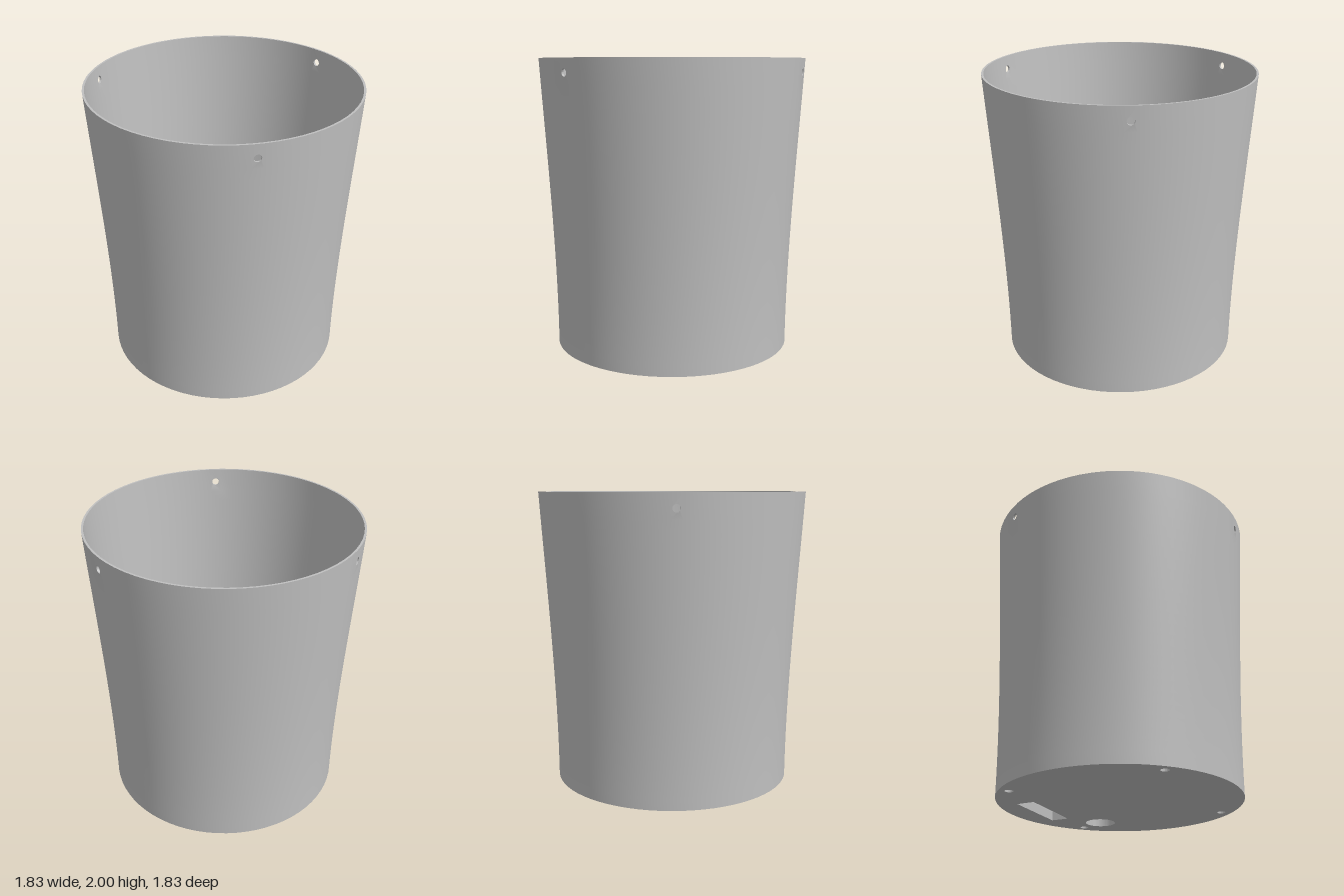
import * as THREE from 'three';
import { mergeGeometries, toCreasedNormals } from 'three/addons/utils/BufferGeometryUtils.js';

const HEIGHT = 2;
const WALL = 0.014;        // wall thickness
const FLOOR = 0.06;        // floor thickness
const BAND = 1.84;         // the pierced rim band starts here
const SIDES = 72;
const STEP = (Math.PI * 2) / SIDES;

// Outer radius, flaring gently toward the rim
const radius = (y) => 0.82 + 0.04025 * y * y - 0.00825 * y * y * y;
const outer = (y) => new THREE.Vector2(radius(y), y);
const inner = (y) => new THREE.Vector2(radius(y) - WALL, y);

// Square piece of wall with a round hole, bent onto the flared surface
function piercedPatch(angle) {
  const w = STEP / 2;
  const shape = new THREE.Shape([
    new THREE.Vector2(-w, BAND), new THREE.Vector2(w, BAND),
    new THREE.Vector2(w, HEIGHT), new THREE.Vector2(-w, HEIGHT),
  ]);
  const hole = new THREE.Path();
  hole.absellipse(0, 1.907, 0.025 / 0.91, 0.025, 0, Math.PI * 2, true);
  shape.holes.push(hole);
  const geometry = new THREE.ExtrudeGeometry(shape, { depth: 1, bevelEnabled: false, curveSegments: 12 });
  const p = geometry.attributes.position;
  for (let i = 0; i < p.count; i++) {
    const y = p.getY(i);
    const r = radius(y) - WALL * (1 - p.getZ(i));
    const a = angle + p.getX(i);
    p.setXYZ(i, r * Math.sin(a), y, r * Math.cos(a));
  }
  return geometry;
}

function wallGeometry() {
  const rows = 24;
  const heights = Array.from({ length: rows + 1 }, (_, i) => (BAND * i) / rows);
  const body = [...[...heights].reverse().map(inner), ...heights.map(outer)];
  const band = [outer(BAND), outer(HEIGHT), inner(HEIGHT), inner(BAND)];
  const parts = [new THREE.LatheGeometry(body, SIDES, STEP / 2).toNonIndexed()];
  // Rim band: three arcs with a pierced patch between each pair
  const arc = SIDES / 3 - 1;
  for (let i = 0; i < 3; i++) {
    const angle = (i * Math.PI * 2) / 3;
    parts.push(new THREE.LatheGeometry(band, arc, angle + STEP / 2, arc * STEP).toNonIndexed());
    parts.push(piercedPatch(angle));
  }
  return toCreasedNormals(mergeGeometries(parts), 0.6);
}

// Floor disc with four screw holes, a slot and a cable hole
function floorGeometry() {
  const shape = new THREE.Shape();
  shape.absarc(0, 0, radius(0) - WALL, STEP / 2, STEP / 2 + Math.PI * 2);
  const roundHole = (x, z, r) => {
    const path = new THREE.Path();
    path.absarc(x, -z, r, 0, Math.PI * 2, true);
    shape.holes.push(path);
  };
  for (const x of [-0.53, 0.53]) for (const z of [-0.53, 0.53]) roundHole(x, z, 0.029);
  roundHole(0.45, -0.36, 0.105);
  shape.holes.push(new THREE.Path([
    new THREE.Vector2(-0.242, 0.518), new THREE.Vector2(-0.242, 0.643),
    new THREE.Vector2(0.242, 0.643), new THREE.Vector2(0.242, 0.518),
  ]));
  const geometry = new THREE.ExtrudeGeometry(shape, {
    depth: FLOOR, bevelEnabled: false, curveSegments: SIDES / 2,
  });
  geometry.rotateX(-Math.PI / 2);
  return toCreasedNormals(geometry, 0.6);
}

export function createModel() {
  const group = new THREE.Group();
  group.name = 'pot';
  const grey = new THREE.MeshStandardMaterial({ color: 0xc0c0c0 });
  grey.name = 'light grey';
  const add = (name, geometry) => {
    const mesh = new THREE.Mesh(geometry, grey);
    mesh.name = name;
    group.add(mesh);
  };
  add('wall', wallGeometry());
  add('floor', floorGeometry());
  return group;
}
